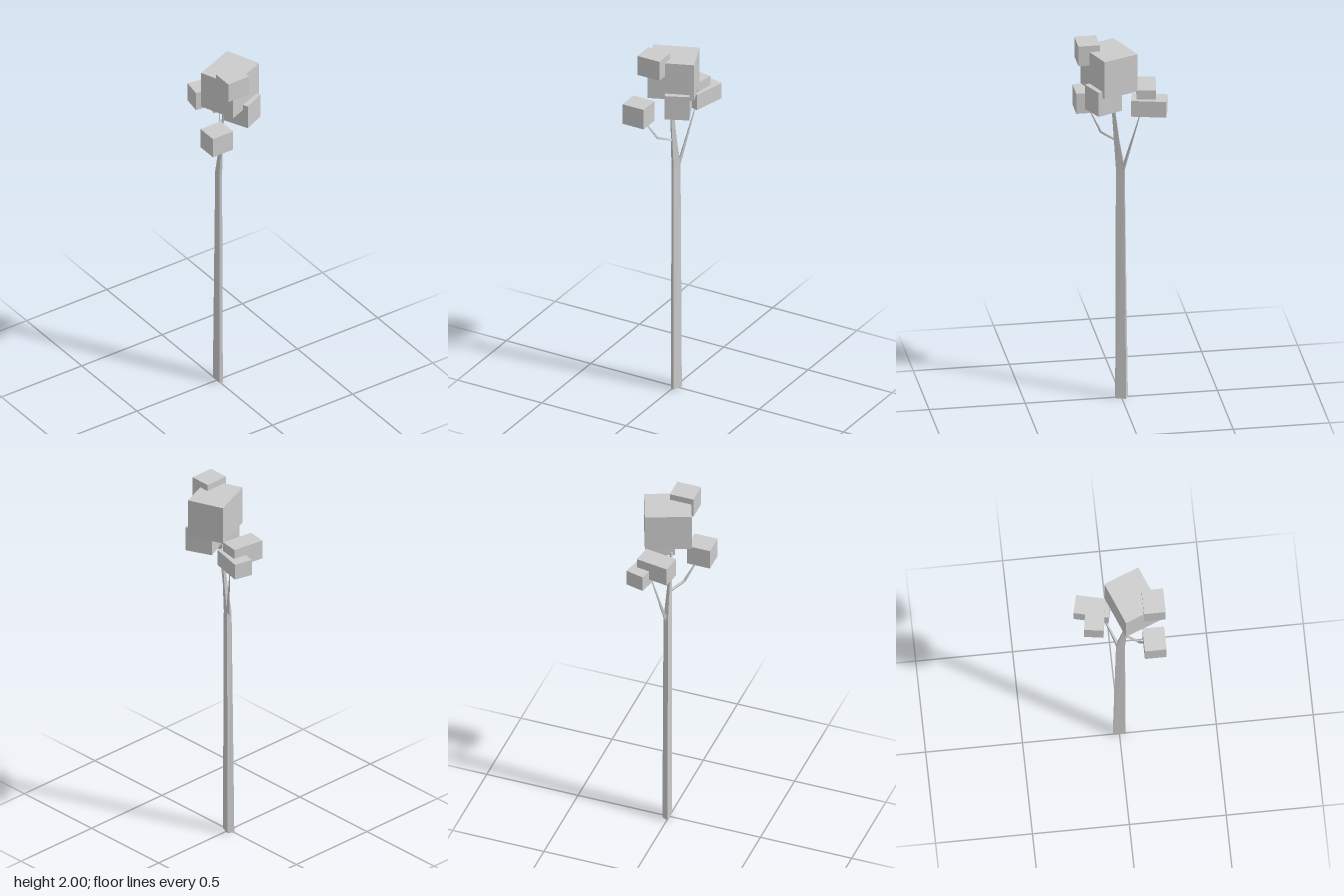
import * as THREE from 'three';

const material = new THREE.MeshStandardMaterial({ color: 0xcccccc, flatShading: true, side: THREE.DoubleSide });

// Skin between rings of corners, listed from the lowest ring up
function loft(name, rings, capEnd = true) {
  const n = rings[0].length, index = [];
  for (let r = 0; r < rings.length - 1; r++) {
    for (let i = 0; i < n; i++) {
      const a = r * n + i, b = r * n + (i + 1) % n;
      index.push(a, b, b + n, a, b + n, a + n);
    }
  }
  const last = (rings.length - 1) * n;
  if (capEnd) for (let i = 1; i < n - 1; i++) index.push(last, last + i, last + i + 1);
  const geometry = new THREE.BufferGeometry();
  geometry.setAttribute('position', new THREE.Float32BufferAttribute(rings.flat(2), 3));
  geometry.setIndex(index);
  const flat = geometry.toNonIndexed();
  flat.computeVertexNormals();
  const mesh = new THREE.Mesh(flat, material);
  mesh.name = name;
  return mesh;
}

// Four-sided tapering limb along a path of [x, y, z, radius]
function limb(name, path) {
  const points = path.map(p => new THREE.Vector3(p[0], p[1], p[2]));
  const rings = points.map((p, k) => {
    const next = points[Math.min(k + 1, points.length - 1)];
    const prev = points[Math.max(k - 1, 0)];
    const t = next.clone().sub(prev).normalize();
    const u = t.clone().cross(new THREE.Vector3(0, 0, 1)).normalize();
    const v = t.clone().cross(u);
    return [0, 1, 2, 3].map(i => {
      const a = i * Math.PI / 2, r = path[k][3];
      return p.clone().addScaledVector(u, r * Math.cos(a)).addScaledVector(v, r * Math.sin(a)).toArray();
    });
  });
  return loft(name, rings);
}

export function createModel() {
  const tree = new THREE.Group();
  tree.name = 'tree';

  // Tall four-sided trunk, narrowing into the leader above the fork
  const ring = (y, corners) => corners.map(([x, z]) => [x, y, z]);
  tree.add(loft('trunk', [
    ring(0, [[-0.005, 0.03], [0.012, 0.034], [0.03, -0.02], [-0.003, -0.035]]),
    ring(1.29, [[-0.005, 0.027], [0.01, 0.03], [0.027, -0.012], [0, -0.018]]),
    ring(1.45, [[-0.002, 0.036], [0.008, 0.04], [0.02, 0.015], [0.003, 0.01]]),
    ring(1.68, [[0, 0.052], [0.006, 0.055], [0.012, 0.043], [0.004, 0.041]]),
  ]));

  // Side branches
  tree.add(limb('backBranch', [
    [0.008, 1.25, 0.002, 0.012], [0.027, 1.34, -0.02, 0.009], [0.078, 1.63, -0.09, 0.002],
  ]));
  tree.add(limb('frontBranch', [
    [0.008, 1.445, 0.027, 0.008], [-0.047, 1.475, 0.098, 0.008], [-0.1, 1.59, 0.153, 0.003],
  ]));

  // Leaf blocks: name, centre x and z, width, depth, bottom, top, turn
  const leaves = [
    ['crownLeaves', 0.033, 0.069, 0.241, 0.197, 1.757, 1.965, 0.378],
    ['topLeaves', -0.024, 0.174, 0.13, 0.112, 1.89, 2, 0],
    ['lowRightLeaves', -0.118, 0.169, 0.126, 0.112, 1.58, 1.693, 0],
    ['lowFrontLeaves', 0.082, 0.106, 0.127, 0.145, 1.655, 1.79, 0.43],
    ['backLeaves', 0.023, -0.125, 0.175, 0.1, 1.655, 1.76, -0.154],
    ['lowBackLeaves', 0.087, -0.131, 0.1, 0.182, 1.62, 1.708, -0.24],
  ];
  for (const [name, x, z, width, depth, bottom, top, turn] of leaves) {
    const block = new THREE.Mesh(new THREE.BoxGeometry(width, top - bottom, depth), material);
    block.name = name;
    block.position.set(x, (bottom + top) / 2, z);
    block.rotation.y = turn;
    tree.add(block);
  }
  return tree;
}
